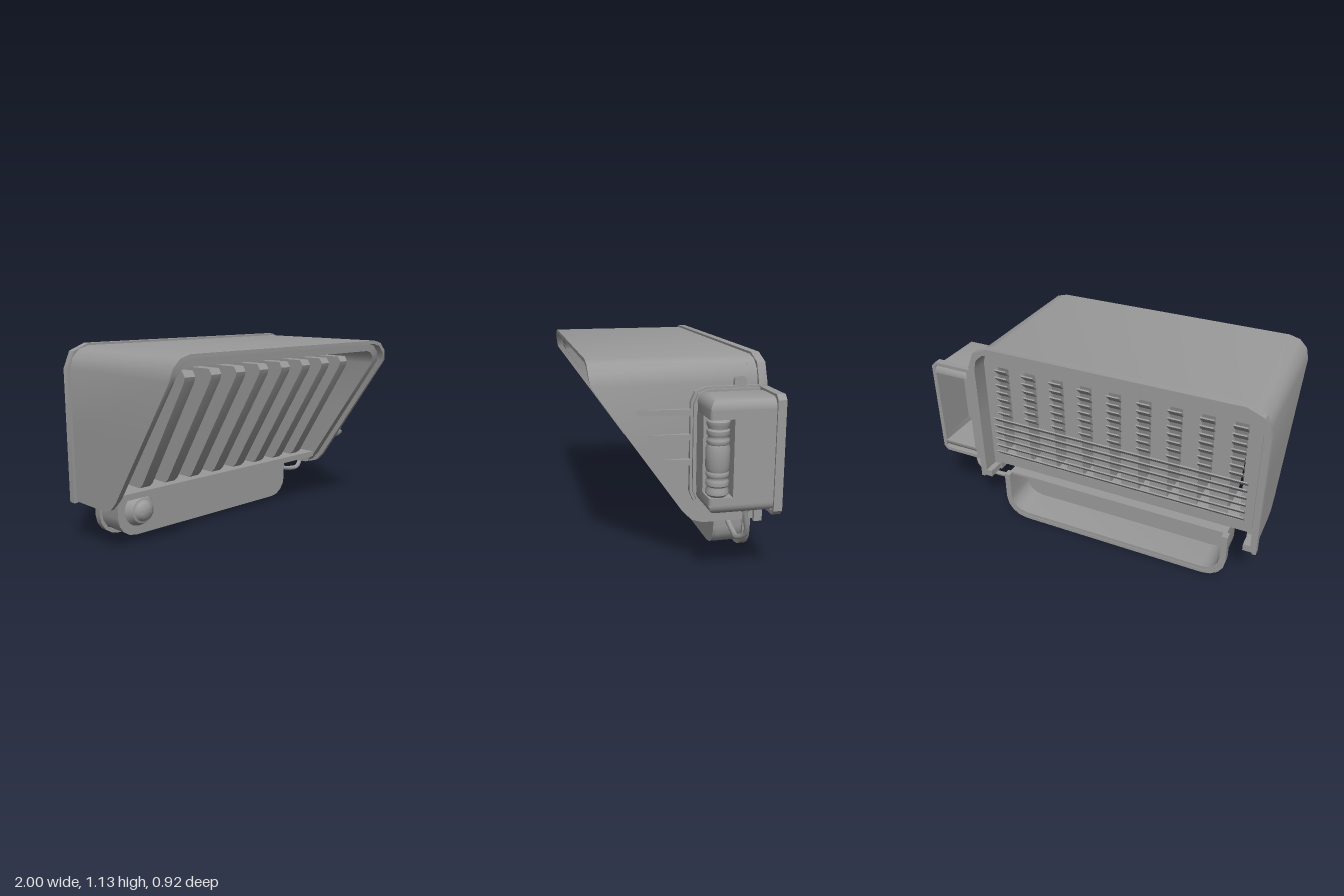
import * as THREE from 'three';
import { toCreasedNormals } from 'three/addons/utils/BufferGeometryUtils.js';

const material = new THREE.MeshStandardMaterial({ color: 0x9a9a9a, side: THREE.DoubleSide });
const BACK = -0.455;

// U-shaped outline running up at x0, across at y1 and down at x1 (y1 < y0 turns it over)
function arch(x0, x1, y0, y1, r, n = 4, breaks = []) {
  const s = Math.sign(y1 - y0), left = [[x0, y0]], right = [[x1, y0]];
  for (const y of breaks) { left.push([x0, y]); right.push([x1, y]); }
  for (let i = 0; i <= n; i++) {
    const a = (i / n) * Math.PI / 2, c = r * (1 - Math.cos(a)), d = y1 - s * r * (1 - Math.sin(a));
    left.push([x0 + c, d]);
    right.push([x1 - c, d]);
  }
  return left.concat(right.reverse());
}
const ring = (outer, inner) => outer.concat(inner.slice().reverse());
const archRing = (x0, x1, y0, y1, r, t, n) =>
  ring(arch(x0, x1, y0, y1, r, n), arch(x0 + t, x1 - t, y0, y1 - Math.sign(y1 - y0) * t, r - t, n));

function prism(points, depth, options = {}) {
  const shape = new THREE.Shape(points.map(p => new THREE.Vector2(p[0], p[1])));
  shape.holes = (options.holes || []).map(h => new THREE.Path(h.map(p => new THREE.Vector2(p[0], p[1]))));
  return new THREE.ExtrudeGeometry(shape, { depth, bevelEnabled: false, ...options.bevel });
}
const alongZ = (points, z0, z1, options) => prism(points, z1 - z0, options).translate(0, 0, z0);
// points given as [z, y]
const alongX = (points, x0, x1) => prism(points.map(([z, y]) => [-z, y]), x1 - x0).rotateY(Math.PI / 2).translate(x0, 0, 0);
// points given as [x, z]
const alongY = (points, y0, y1, options) =>
  prism(points.map(([x, z]) => [x, -z]), y1 - y0, options).rotateX(-Math.PI / 2).translate(0, y0, 0);
const rect = (x0, x1, y0, y1) => [[x0, y0], [x1, y0], [x1, y1], [x0, y1]];

// Front edge of the hood: depth z at height y
const EDGE = [[0.24, -0.13], [0.25, -0.13], [0.27, -0.07], [0.32, -0.02], [0.99, 0.45], [1.07, 0.46], [1.13, 0.46]];
function frontZ(y) {
  for (let i = 1; i < EDGE.length; i++) {
    const [ya, za] = EDGE[i - 1], [yb, zb] = EDGE[i];
    if (y <= yb) return za + (zb - za) * Math.max(0, (y - ya) / (yb - ya));
  }
  return 0.46;
}

// Arched wall with a sloping front, as strips between four rails
function slopedShell(inset, wall, recess, back) {
  const line = i => arch(-0.985 + i, 0.72 - i, 0.25, 1.118 - i, 0.125 - i * 0.7, 3, [0.27, 0.32, 0.65]);
  const outer = line(inset), inner = line(inset + wall);
  const front = pts => pts.map(([x, y]) => [x, y, frontZ(y) - recess]);
  const rear = pts => pts.map(([x, y]) => [x, y, back]);
  const rails = [front(outer), rear(outer), rear(inner), front(inner)];
  const positions = [];
  rails.forEach((a, k) => {
    const b = rails[(k + 1) % 4];
    for (let i = 0; i < a.length - 1; i++) positions.push(...a[i], ...a[i + 1], ...b[i], ...b[i], ...a[i + 1], ...b[i + 1]);
  });
  const geometry = new THREE.BufferGeometry();
  geometry.setAttribute('position', new THREE.Float32BufferAttribute(positions, 3));
  return geometry;
}

// Slab with one rounded side: height limits flatten the other side
function roundedSlab(points, y, radius, low, high) {
  const bevel = { bevelEnabled: true, bevelThickness: radius, bevelSize: 0.055, bevelSegments: 5 };
  const geometry = alongY(points, y, y + 0.002, { bevel });
  const p = geometry.attributes.position;
  for (let i = 0; i < p.count; i++) p.setY(i, THREE.MathUtils.clamp(p.getY(i), low, high));
  return geometry;
}

export function createModel() {
  const model = new THREE.Group();
  const group = name => {
    const g = new THREE.Group();
    g.name = name;
    model.add(g);
    return g;
  };
  const add = (parent, name, geometry, crease = 0.65) => {
    const mesh = new THREE.Mesh(toCreasedNormals(geometry, crease), material);
    mesh.name = name;
    parent.add(mesh);
    return mesh;
  };
  const box = (parent, name, x0, x1, y0, y1, z0, z1) => add(parent, name, alongZ(rect(x0, x1, y0, y1), z0, z1));

  // Hood with its inner lining, back flange and sill
  const hood = group('hood');
  add(hood, 'hoodShell', slopedShell(0, 0.02, 0, BACK));
  add(hood, 'hoodLining', slopedShell(0.02, 0.045, 0.04, -0.36));
  add(hood, 'backFlange', alongZ(archRing(-1, 0.74, 0.24, 1.13, 0.135, 0.022, 2), BACK, -0.41));
  box(hood, 'sill', -0.92, 0.66, 0.3, 0.335, -0.36, -0.07);
  for (const x of [-0.95, 0.69]) box(hood, 'foot', x - 0.025, x + 0.025, 0.25, 0.29, BACK, -0.14);

  // Slotted grille panel
  const grille = group('grille');
  const columns = Array.from({ length: 9 }, (_, i) => -0.835 + i * 0.175);
  const slots = columns.map(x => rect(x - 0.035, x + 0.035, 0.375, 0.985));
  add(grille, 'grillePanel', alongZ(rect(-0.945, 0.68, 0.335, 1.08), -0.37, -0.355, { holes: slots }));

  // Louvre blades sloping down to the front: full width below, one per slot above
  for (let row = 0; row < 13; row++) {
    const full = row < 6;
    for (const x of full ? [-0.13] : columns) {
      const blade = add(grille, 'louvreBlade', new THREE.BoxGeometry(full ? 1.54 : 0.076, 0.06, 0.008));
      blade.position.set(x, 0.402 + row * 0.0467, -0.385);
      blade.rotation.x = -0.75;
    }
  }

  // Deep upright fins with sloping front edges
  const fin = [[-0.36, 1.02], [0.3, 1.02], [0.32, 0.99], [0.31, 0.96], [-0.06, 0.37], [-0.085, 0.35], [-0.36, 0.35]];
  for (let i = 0; i < 8; i++) {
    const x = -0.75 + i * 0.175;
    add(grille, 'fin', alongX(fin, x - 0.034, x + 0.034));
  }

  // Lower tray, open at the back, with a shelf on top
  const tray = group('lowerTray');
  add(tray, 'trayWall', alongZ(archRing(-0.825, 0.555, 0.3, 0.025, 0.12, 0.02), BACK, -0.26));
  add(tray, 'trayFront', alongZ(arch(-0.825, 0.555, 0.3, 0.025, 0.12), -0.26, -0.245));
  add(tray, 'trayFlange', alongZ(archRing(-0.84, 0.57, 0.3, 0, 0.13, 0.022), BACK, -0.41));
  box(tray, 'trayShelf', -0.81, 0.54, 0.285, 0.3, -0.42, -0.26);
  for (const x of [-0.505, -0.135, 0.235]) {
    add(tray, 'latch', alongX([[-0.325, 0.035], [-0.325, 0.022], [-0.41, 0], [-0.41, 0.035]], x - 0.045, x + 0.045));
  }

  // Domed knob on the tray
  const knob = [[0.1, 0], [0.075, 0.045], [0.064, 0.047], [0.06, 0.05], [0.054, 0.065], [0.036, 0.077], [0, 0.082]];
  const knobMesh = add(tray, 'knob',
    new THREE.LatheGeometry(knob.map(p => new THREE.Vector2(...p)), 28).rotateX(Math.PI / 2));
  knobMesh.position.set(-0.68, 0.175, -0.246);

  // Mounting plate between the hood and the side box
  const side = group('sideBox');
  const plate = (y0, y1, z1, r) => arch(y0, y1, BACK, z1, r, 2).map(([y, z]) => [z, y]);
  add(side, 'mountingPlate', alongX(plate(0.36, 0.98, -0.05, 0.075), 0.715, 0.745));
  add(side, 'mountingStep', alongX(plate(0.37, 0.97, -0.062, 0.075), 0.745, 0.76));

  // Hollow box walls, notched at the outer front corner for the grip
  const plain = ring(arch(0.75, 0.99, BACK, -0.08, 0.02), arch(0.765, 0.975, BACK, -0.095, 0.01));
  const notched = ring(
    [[0.75, BACK], [0.75, -0.08], [0.87, -0.08], [0.87, -0.2], [0.99, -0.2], [0.99, BACK]],
    [[0.765, BACK], [0.765, -0.095], [0.855, -0.095], [0.855, -0.215], [0.975, -0.215], [0.975, BACK]]);
  add(side, 'boxWall', alongY(plain, 0.435, 0.475));
  add(side, 'boxWall', alongY(notched, 0.475, 0.865));
  add(side, 'boxWall', alongY(plain, 0.865, 0.91));
  for (const y of [0.463, 0.865]) box(side, 'notchEnd', 0.86, 0.98, y, y + 0.012, -0.21, -0.09);

  // Rounded top and bottom of the box
  const endShape = rect(0.805, 0.935, BACK + 0.055, -0.135);
  add(side, 'boxBottom', roundedSlab(endShape, 0.435, 0.05, 0, 0.437), 0.8);
  add(side, 'boxTop', roundedSlab(endShape, 0.908, 0.055, 0.908, 2), 0.8);
  const rim = ring([[0.74, 0.365], [0.975, 0.365], [1, 0.39], [1, 0.95], [0.975, 0.975], [0.74, 0.975]],
    [[0.74, 0.385], [0.965, 0.385], [0.98, 0.4], [0.98, 0.94], [0.965, 0.955], [0.74, 0.955]]);
  add(side, 'boxFlange', alongZ(rim, BACK, -0.41));

  // Turned grip in the notch, mirrored about its middle
  const half = [[0.045, 0.195], [0.058, 0.182], [0.058, 0.165], [0.05, 0.15], [0.05, 0.145], [0.057, 0.137], [0.057, 0.117],
    [0.05, 0.107], [0.05, 0.1], [0.057, 0.09], [0.057, 0.074], [0.053, 0.068], [0.06, 0.045]];
  const grip = [[0, 0.195], ...half, ...half.slice().reverse().map(([r, y]) => [r, -y]), [0, -0.195]];
  const gripMesh = add(side, 'grip', new THREE.LatheGeometry(grip.map(([r, y]) => new THREE.Vector2(r, -y)), 24));
  gripMesh.position.set(0.935, 0.67, -0.135);

  // Tapered ribs on the hood side and the clip above the plate
  for (const [y, z] of [[0.855, 0.22], [0.725, 0.17], [0.593, 0.11]]) {
    add(side, 'sideRib', alongY([[0.71, z], [0.722, z], [0.752, -0.055], [0.71, -0.055]], y - 0.015, y + 0.015));
  }
  add(side, 'clip', alongX(arch(-0.345, -0.28, 0.97, 1.028, 0.025), 0.71, 0.74));

  // Cable from the box to the tray
  const cable = group('cable');
  const path = new THREE.CatmullRomCurve3([[0.868, 0.4, -0.31], [0.86, 0.33, -0.315], [0.832, 0.22, -0.335],
    [0.765, 0.17, -0.31], [0.67, 0.172, -0.315], [0.53, 0.21, -0.32]].map(p => new THREE.Vector3(...p)));
  add(cable, 'cord', new THREE.TubeGeometry(path, 20, 0.015, 10));
  add(cable, 'collar', new THREE.CylinderGeometry(0.03, 0.019, 0.04, 16)).position.set(0.865, 0.37, -0.311);

  return model;
}
